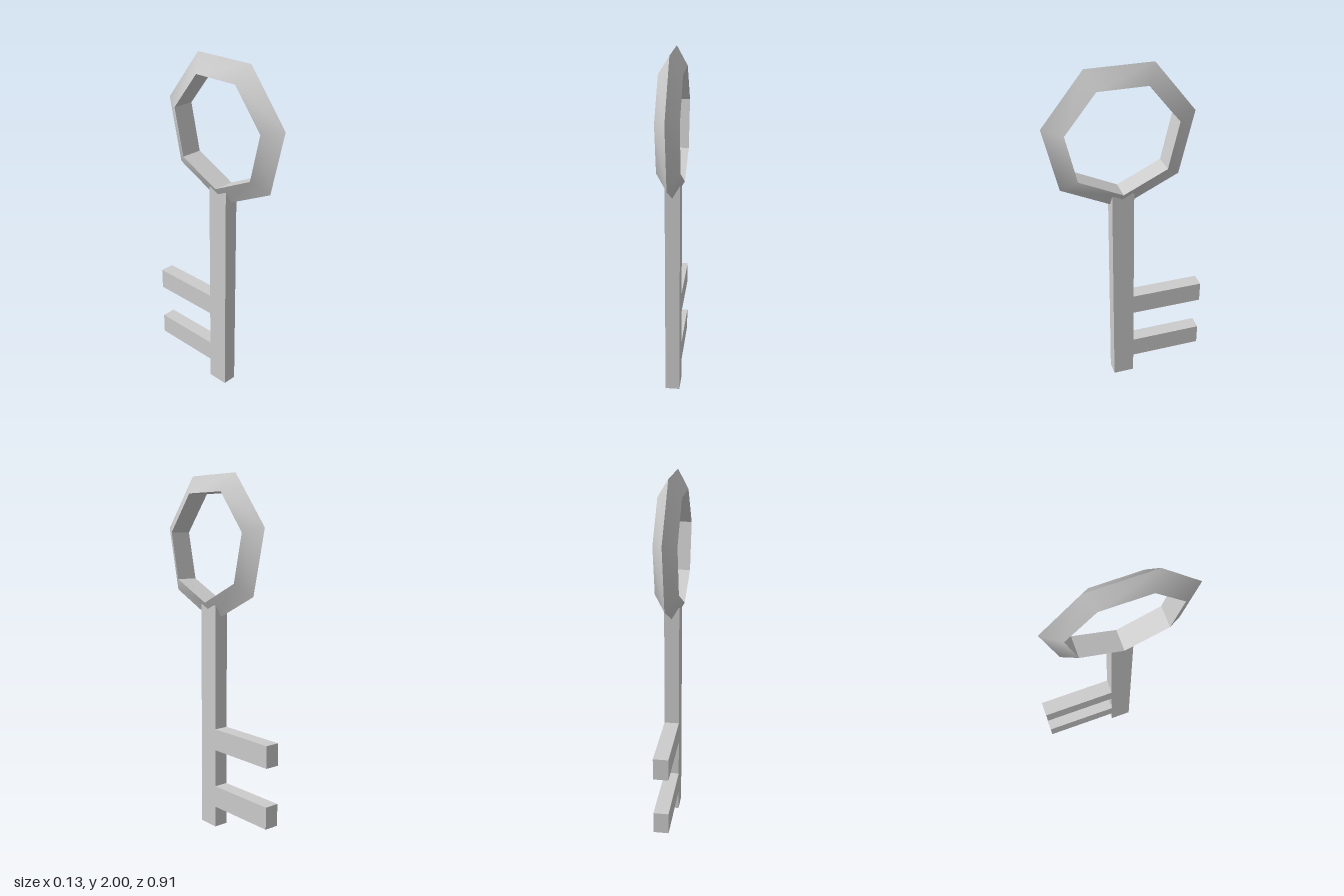
import * as THREE from 'three';
import { toCreasedNormals } from 'three/addons/utils/BufferGeometryUtils.js';

export function createModel() {
  const key = new THREE.Group();
  key.name = 'key';
  const material = new THREE.MeshStandardMaterial({ color: 0xcccccc });

  function add(name, geometry, x, y, z) {
    const mesh = new THREE.Mesh(geometry, material);
    mesh.name = name;
    mesh.position.set(x, y, z);
    key.add(mesh);
  }

  // Handle: seven-sided ring of triangular section, one corner pointing down
  const ring = new THREE.TorusGeometry(0.352, 0.0727, 3, 7);
  ring.rotateZ(-Math.PI / 2);
  ring.rotateY(Math.PI / 2);
  add('handleRing', toCreasedNormals(ring, 0.6), 0, 1.617, 0.038);

  // Shaft: square-edged bar whose top is buried in the ring
  const width = 0.084, shaftTop = 1.29, shaftDepth = 0.124, shaftZ = 0.034;
  add('shaft', new THREE.BoxGeometry(width, shaftTop, shaftDepth), 0, shaftTop / 2, shaftZ);

  // Two teeth pointing backwards
  const toothStart = shaftZ - shaftDepth / 2, toothEnd = -0.453;
  const toothLength = toothStart - toothEnd;
  [['lowerTooth', 0.183], ['upperTooth', 0.522]].forEach(([name, y]) => {
    add(name, new THREE.BoxGeometry(width, 0.124, toothLength), 0, y, (toothStart + toothEnd) / 2);
  });

  return key;
}
